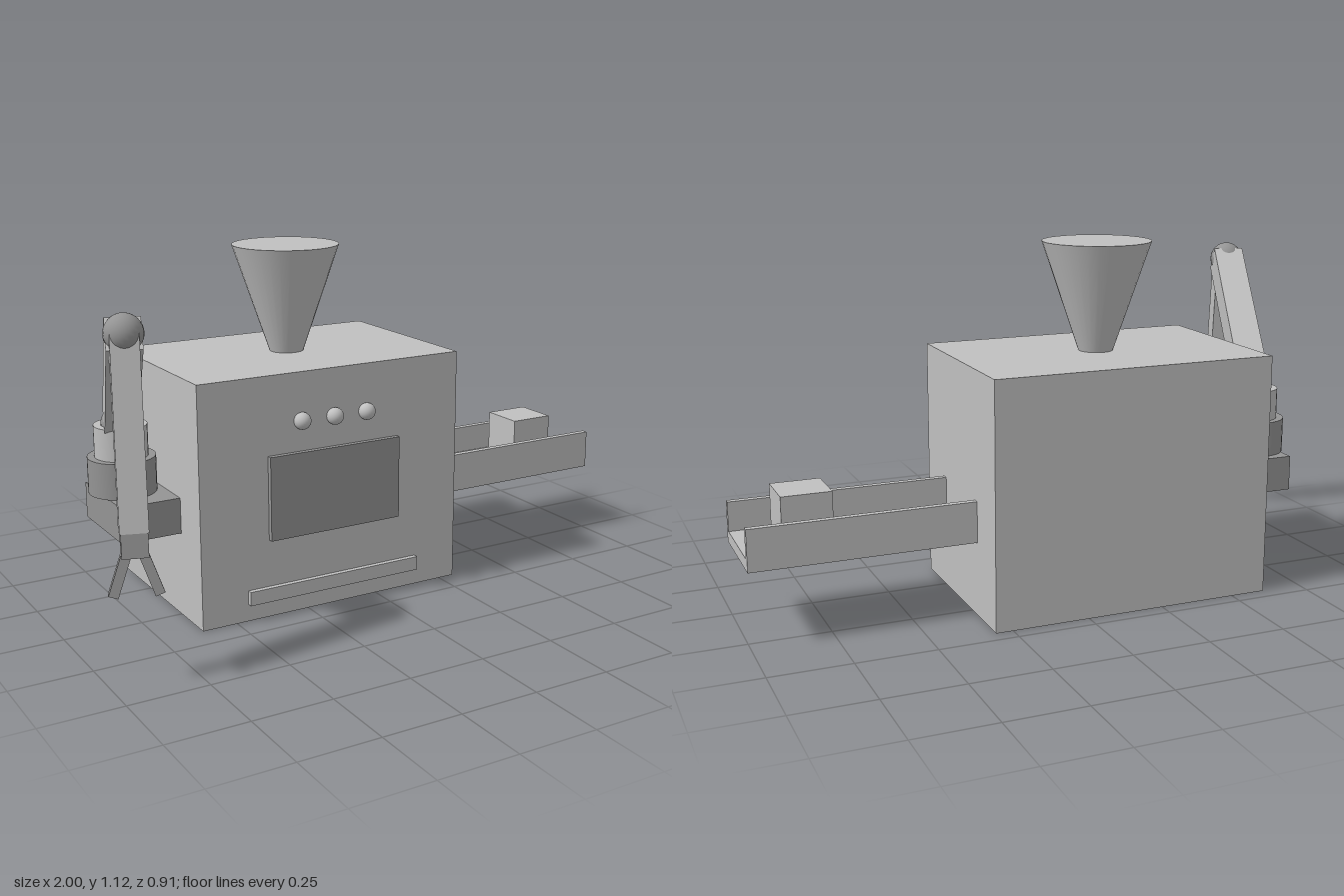
import * as THREE from 'three';

const light = new THREE.MeshStandardMaterial({ color: 0xc0c0c0 });
light.name = 'light grey';
const dark = new THREE.MeshStandardMaterial({ color: 0x949494 });
dark.name = 'mid grey';

function add(parent, name, geometry, material, x, y, z) {
  const mesh = new THREE.Mesh(geometry, material);
  mesh.name = name;
  mesh.position.set(x, y, z);
  parent.add(mesh);
  return mesh;
}

// Box given by its lower and upper corners
function span(parent, name, material, [x0, y0, z0], [x1, y1, z1]) {
  const box = new THREE.BoxGeometry(x1 - x0, y1 - y0, z1 - z0);
  return add(parent, name, box, material, (x0 + x1) / 2, (y0 + y1) / 2, (z0 + z1) / 2);
}

const ball = (r) => new THREE.SphereGeometry(r, 24, 16);

function createArm() {
  const arm = new THREE.Group();
  arm.name = 'arm';
  arm.position.set(-0.735, 0.6, -0.15);
  arm.rotation.y = -0.322;

  // Shoulder, upper arm and elbow
  const reach = 0.474, rise = 0.375;
  add(arm, 'shoulder', ball(0.06), dark, 0, 0, 0);
  const upper = add(arm, 'upperArm', new THREE.BoxGeometry(0.1, 0.1, Math.hypot(reach, rise)),
    light, 0, rise / 2, reach / 2);
  upper.rotation.x = -Math.atan2(rise, reach);
  add(arm, 'elbow', ball(0.056), dark, 0, rise, reach);

  // Forearm hangs down from the elbow, tilted forward
  const forearm = new THREE.Group();
  forearm.name = 'forearm';
  forearm.position.set(0, rise, reach);
  forearm.rotation.x = -0.168;
  arm.add(forearm);
  span(forearm, 'lowerArm', light, [-0.04, -0.537, -0.04], [0.04, 0, 0.04]);
  span(forearm, 'wrist', dark, [-0.037, -0.605, -0.037], [0.037, -0.537, 0.037]);
  for (const side of [-1, 1]) {
    const finger = add(forearm, 'finger', new THREE.BoxGeometry(0.028, 0.13, 0.038), dark,
      side * 0.042, -0.65, 0);
    finger.rotation.z = side * 0.34;
  }
  return arm;
}

export function createModel() {
  const model = new THREE.Group();
  model.name = 'machine';

  // Cabinet and front panel
  span(model, 'cabinet', light, [-0.615, 0, -0.453], [0.305, 0.77, 0.158]);
  span(model, 'screen', dark, [-0.385, 0.252, 0.15], [0.077, 0.52, 0.175]);
  span(model, 'slotBar', light, [-0.46, 0.055, 0.15], [0.15, 0.1, 0.175]);
  for (const x of [-0.27, -0.155, -0.04]) add(model, 'button', ball(0.027), light, x, 0.618, 0.168);

  // Hopper on top
  add(model, 'hopper', new THREE.CylinderGeometry(0.172, 0.055, 0.345, 32), light, -0.155, 0.9425, -0.147);

  // Conveyor chute with one finished block
  span(model, 'chuteFloor', light, [0.305, 0.235, -0.3], [1, 0.272, 0.005]);
  span(model, 'chuteRail', light, [0.305, 0.272, -0.016], [1, 0.365, 0.005]);
  span(model, 'chuteRail', light, [0.305, 0.272, -0.3], [1, 0.365, -0.279]);
  span(model, 'block', light, [0.727, 0.272, -0.222], [0.882, 0.425, -0.07]);

  // Arm mount and turntable
  span(model, 'armMount', dark, [-0.808, 0.272, -0.285], [-0.615, 0.386, 0.015]);
  add(model, 'turntableBase', new THREE.CylinderGeometry(0.106, 0.106, 0.114, 32), dark, -0.735, 0.443, -0.15);
  add(model, 'turntable', new THREE.CylinderGeometry(0.083, 0.083, 0.1, 32), light, -0.735, 0.55, -0.15);
  model.add(createArm());
  return model;
}
